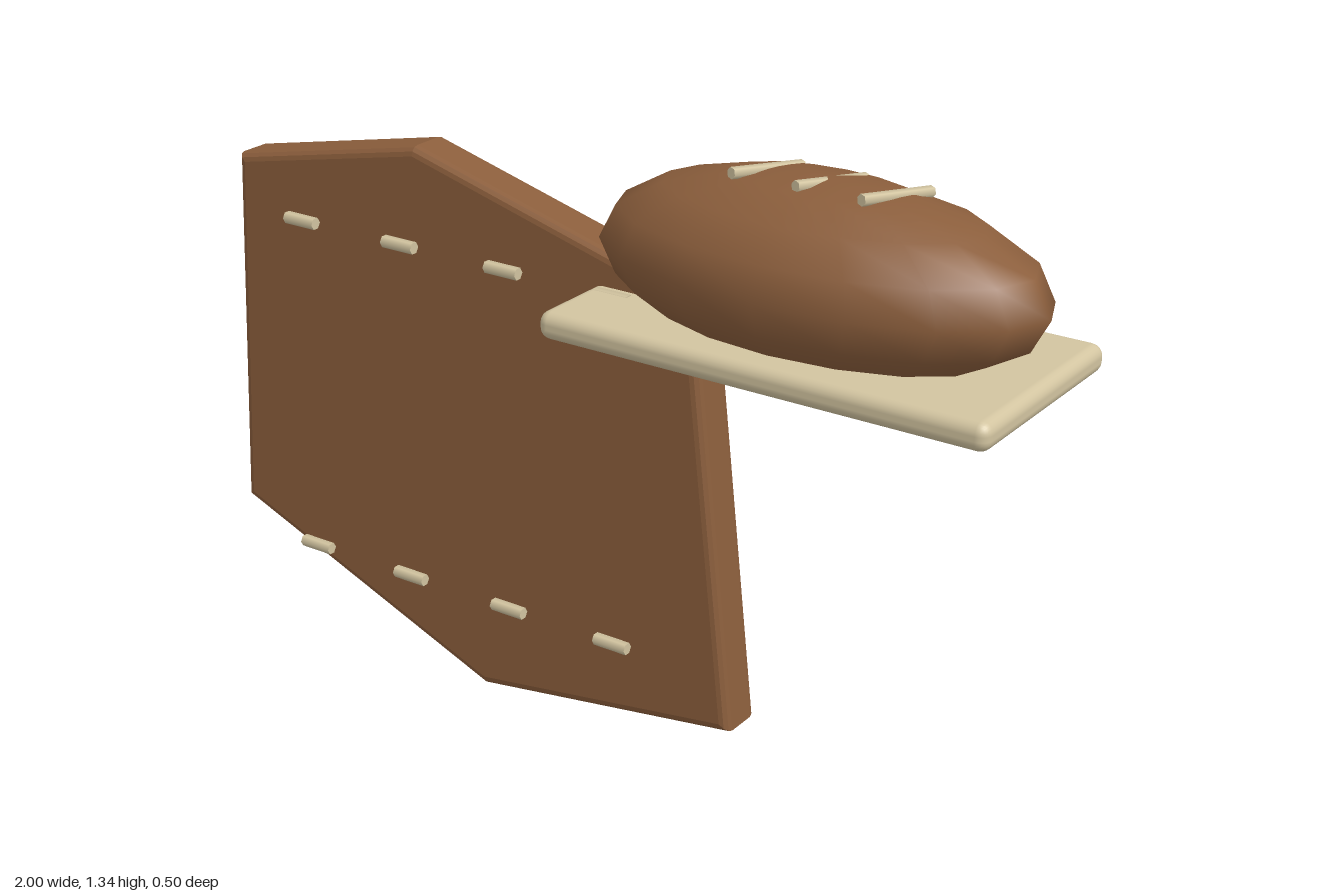
import * as THREE from 'three';
import { RoundedBoxGeometry } from 'three/addons/geometries/RoundedBoxGeometry.js';

export function createModel() {
  const model = new THREE.Group();
  const brown = new THREE.MeshStandardMaterial({ color: 0x8b5e3c });
  brown.name = 'crustBrown';
  const cream = new THREE.MeshStandardMaterial({ color: 0xd2c4a0 });
  cream.name = 'cream';

  const add = (name, geometry, material, x, y, z, parent = model) => {
    const mesh = new THREE.Mesh(geometry, material);
    mesh.name = name;
    mesh.position.set(x, y, z);
    parent.add(mesh);
    return mesh;
  };

  // Upright six-sided panel with softened rims
  const outline = [[-1, 0.285], [-0.3, 0], [0.352, 0.093], [0.243, 1.045], [-0.46, 1.235], [-0.962, 1.132]];
  const bevel = 0.02;
  const panel = new THREE.ExtrudeGeometry(
    new THREE.Shape(outline.map(([x, y]) => new THREE.Vector2(x, y))),
    { depth: 0.07, bevelEnabled: true, bevelThickness: bevel, bevelSize: bevel, bevelOffset: -bevel, bevelSegments: 3 }
  );
  add('panel', panel, brown, 0, 0, -0.035);

  // Two rows of stitches on the panel's front
  const stitches = new THREE.Group();
  stitches.name = 'stitches';
  model.add(stitches);
  const stitchGeometry = new THREE.CylinderGeometry(0.014, 0.014, 0.083, 6).rotateZ(Math.PI / 2);
  for (const y of [0.23, 1.02]) {
    for (let i = 0; i < 4; i++) {
      add('stitch', stitchGeometry, cream, -0.763 + i * 0.277, y, 0.076, stitches);
    }
  }

  // Serving board
  add('board', new RoundedBoxGeometry(0.99, 0.06, 0.496, 3, 0.025), cream, 0.5, 1, 0);

  // Loaf, sunk slightly through the board
  const loaf = new THREE.SphereGeometry(1, 16, 8).scale(0.488, 0.187, 0.245);
  add('loaf', loaf, brown, 0.5, 1.15, 0);

  // Slanted scores across the loaf's top
  const direction = new THREE.Vector3(-0.055, 0.018, 0.17).normalize();
  const scoreGeometry = new THREE.CylinderGeometry(0.012, 0.012, 0.18, 6);
  for (const x of [0.375, 0.517, 0.658]) {
    const score = add('score', scoreGeometry, cream, x, 1.324, -0.004);
    score.quaternion.setFromUnitVectors(new THREE.Vector3(0, 1, 0), direction);
  }

  return model;
}
